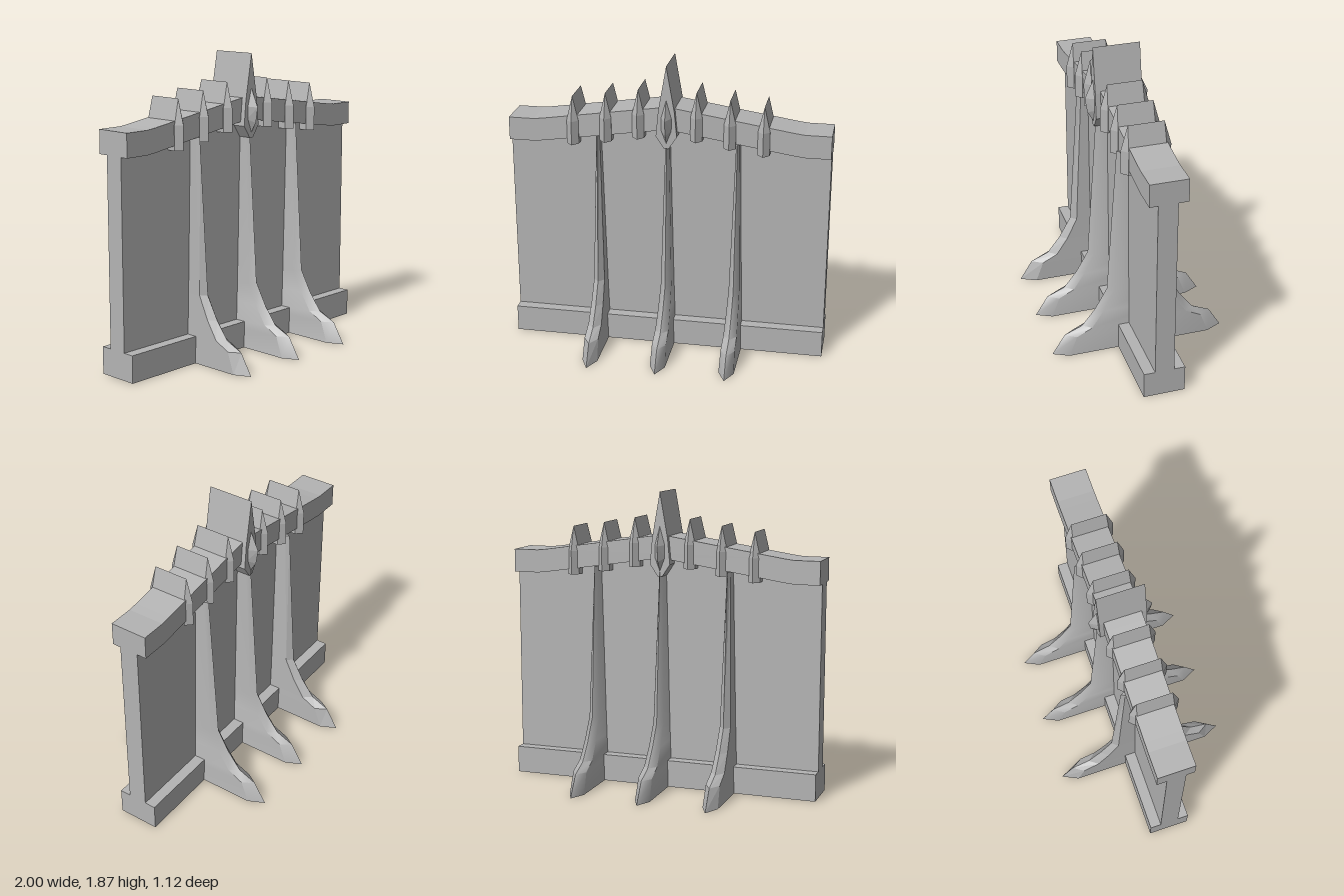
import * as THREE from 'three';
import { toCreasedNormals } from 'three/addons/utils/BufferGeometryUtils.js';
import { ConvexGeometry } from 'three/addons/geometries/ConvexGeometry.js';

const MID = 0.01; // z of the wall's centre plane

// Stack of six-sided sections [y, halfWidth, shoulderZ, tipZ], pointed at both z ends
function loft(stations, crease) {
  const rings = stations.map(([y, w, s, t]) => [
    [0, y, t], [w, y, s], [w, y, -s], [0, y, -t], [-w, y, -s], [-w, y, s],
  ].map((p) => new THREE.Vector3(...p)));
  const pos = [];
  const tri = (a, b, c) => {
    const area = b.clone().sub(a).cross(c.clone().sub(a)).length();
    if (area > 1e-7) [a, b, c].forEach((p) => pos.push(p.x, p.y, p.z));
  };
  for (let r = 0; r + 1 < rings.length; r++) {
    for (let i = 0; i < 6; i++) {
      const j = (i + 1) % 6;
      const lo = rings[r], hi = rings[r + 1];
      tri(lo[i], lo[j], hi[j]);
      tri(lo[i], hi[j], hi[i]);
    }
  }
  const first = rings[0], last = rings[rings.length - 1];
  for (let i = 1; i < 5; i++) {
    tri(first[0], first[i + 1], first[i]);
    tri(last[0], last[i], last[i + 1]);
  }
  const geo = new THREE.BufferGeometry();
  geo.setAttribute('position', new THREE.Float32BufferAttribute(pos, 3));
  geo.computeVertexNormals();
  return crease ? toCreasedNormals(geo, crease) : geo;
}

// Front outline pulled through z, centred on the given plane
function slab(points, depth, z) {
  const shape = new THREE.Shape(points.map((p) => new THREE.Vector2(...p)));
  const geo = new THREE.ExtrudeGeometry(shape, { depth, bevelEnabled: false });
  return geo.translate(0, 0, z - depth / 2);
}

export function createModel() {
  const group = new THREE.Group();
  const stone = new THREE.MeshStandardMaterial({ color: 0xb4b4b4 });
  stone.name = 'grey stone';

  const add = (name, geo, x = 0, z = 0) => {
    const mesh = new THREE.Mesh(geo, stone);
    mesh.name = name;
    mesh.position.set(x, 0, z);
    group.add(mesh);
  };

  // Wall panel, running up into the coping
  add('wallPanel', slab([
    [-1, 0.1], [1, 0.1], [1, 1.4], [0.83, 1.4], [0, 1.52], [-0.83, 1.4], [-1, 1.4],
  ], 0.12, MID));

  // Plinth
  add('plinth', new THREE.BoxGeometry(2, 0.17, 0.26).translate(0, 0.085, MID));

  // Coping beam rising to the middle
  const rise = [[1, 1.33], [0.84, 1.33], [0.78, 1.337], [0.1, 1.44], [0, 1.455]];
  const under = [...rise.map(([x, y]) => [-x, y]), ...rise.slice(0, -1).reverse()];
  const over = under.map(([x, y]) => [x, y + 0.145]).reverse();
  add('copingBeam', slab([...under, ...over], 0.235, MID - 0.005));

  // Flared buttresses passing through the wall
  const flare = [
    [0, 0.048, 0.46, 0.56], [0.13, 0.044, 0.41, 0.48], [0.18, 0.042, 0.31, 0.365],
    [0.29, 0.038, 0.235, 0.28], [0.43, 0.034, 0.165, 0.202], [1.39, 0.011, 0.115, 0.14],
  ];
  for (const x of [-0.435, 0, 0.435]) {
    add('buttress', loft(flare, x < 0 ? 0 : 0.9), x);
  }

  // Small pointed crests along the coping
  [[0.18, 1.395], [0.385, 1.36], [0.592, 1.33]].forEach(([x, y]) => {
    const geo = loft([
      [y, 0.037, 0.115, 0.153], [y + 0.15, 0.037, 0.115, 0.153], [y + 0.305, 0, 0.11, 0.11],
    ]);
    for (const side of [-1, 1]) add('crest', geo, side * x, MID);
  });

  // Tall central crest
  add('centralCrest', slab([
    [-0.015, 1.345], [0.015, 1.345], [0.065, 1.42], [0.05, 1.58],
    [0, 1.865], [-0.05, 1.58], [-0.065, 1.42],
  ], 0.295, MID - 0.003));

  // Faceted gems on both faces of the central crest
  for (const side of [-1, 1]) {
    const gem = [
      [0, 1.67, 0.14], [0.036, 1.54, 0.14], [0.036, 1.46, 0.14], [0, 1.365, 0.14],
      [-0.036, 1.46, 0.14], [-0.036, 1.54, 0.14], [0, 1.535, 0.2], [0, 1.44, 0.185],
    ].map(([x, y, z]) => new THREE.Vector3(x, y, side * z));
    add('gem', new ConvexGeometry(gem), 0, MID - 0.003);
  }
  return group;
}
